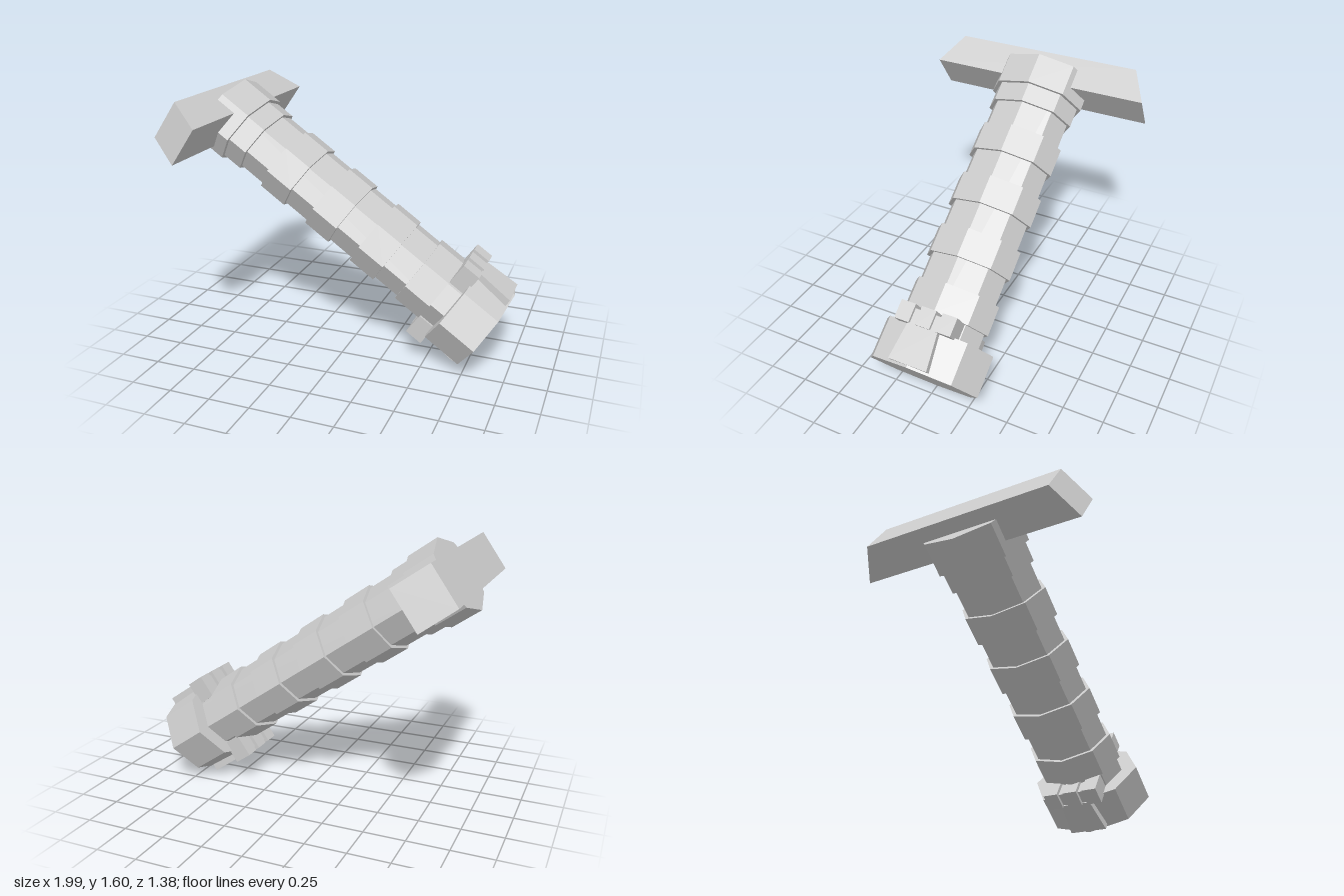
import * as THREE from 'three';

const material = new THREE.MeshStandardMaterial({ color: 0xcccccc, flatShading: true });

function addMesh(parent, name, geometry) {
  const mesh = new THREE.Mesh(geometry, material);
  mesh.name = name;
  parent.add(mesh);
  return mesh;
}

// Octagonal prism along y from y0 to y1, flattened in x
function octagon(y0, y1, rx, rz) {
  return new THREE.CylinderGeometry(1, 1, y1 - y0, 8)
    .scale(rx, 1, rz)
    .translate(0, (y0 + y1) / 2, 0);
}

// Block whose half width in z changes from zLow (at y0) to zHigh (at y1)
function taperedBlock(x0, x1, y0, y1, zLow, zHigh, zCentre = 0) {
  const geometry = new THREE.BoxGeometry(x1 - x0, y1 - y0, 2);
  const p = geometry.attributes.position;
  for (let i = 0; i < p.count; i++) {
    p.setZ(i, zCentre + p.getZ(i) * (p.getY(i) < 0 ? zLow : zHigh));
  }
  geometry.translate((x0 + x1) / 2, (y0 + y1) / 2, 0);
  geometry.computeVertexNormals();
  return geometry;
}

export function createModel() {
  const model = new THREE.Group();
  model.name = 'hilt';

  // Built upright along y, then leaned over
  const hilt = new THREE.Group();
  hilt.name = 'leaningHilt';
  hilt.rotation.z = THREE.MathUtils.degToRad(55);
  hilt.position.set(0.838, 0.226, 0);
  model.add(hilt);

  // Pommel
  addMesh(hilt, 'pommel', octagon(0, 0.247, 0.273, 0.356));

  // Grip core with raised rings
  addMesh(hilt, 'gripCore', octagon(0.17, 2.0, 0.197, 0.256));
  for (let i = 0; i < 5; i++) {
    const y = 0.347 + i * 0.35;
    addMesh(hilt, 'gripRing', octagon(y, y + 0.18, 0.215, 0.28));
  }

  // Collar and crossguard
  addMesh(hilt, 'collar', octagon(1.87, 2.07, 0.235, 0.305));
  addMesh(hilt, 'crossguard', taperedBlock(-0.13, 0.13, 1.943, 2.153, 0.69, 0.585));

  // Crenellated ornament on both flat sides of the pommel
  for (const side of [0, Math.PI]) {
    const ornament = new THREE.Group();
    ornament.name = 'pommelOrnament';
    ornament.rotation.y = side;
    hilt.add(ornament);
    addMesh(ornament, 'ornamentPlate', taperedBlock(0.2, 0.279, 0.015, 0.24, 0.121, 0.095));
    addMesh(ornament, 'ornamentBar', taperedBlock(0.15, 0.272, 0.236, 0.325, 0.15, 0.15));
    for (const z of [-0.132, 0, 0.132]) {
      addMesh(ornament, 'ornamentBlock', taperedBlock(0.15, 0.292, 0.235, 0.346, 0.046, 0.046, z));
    }
  }
  return model;
}
